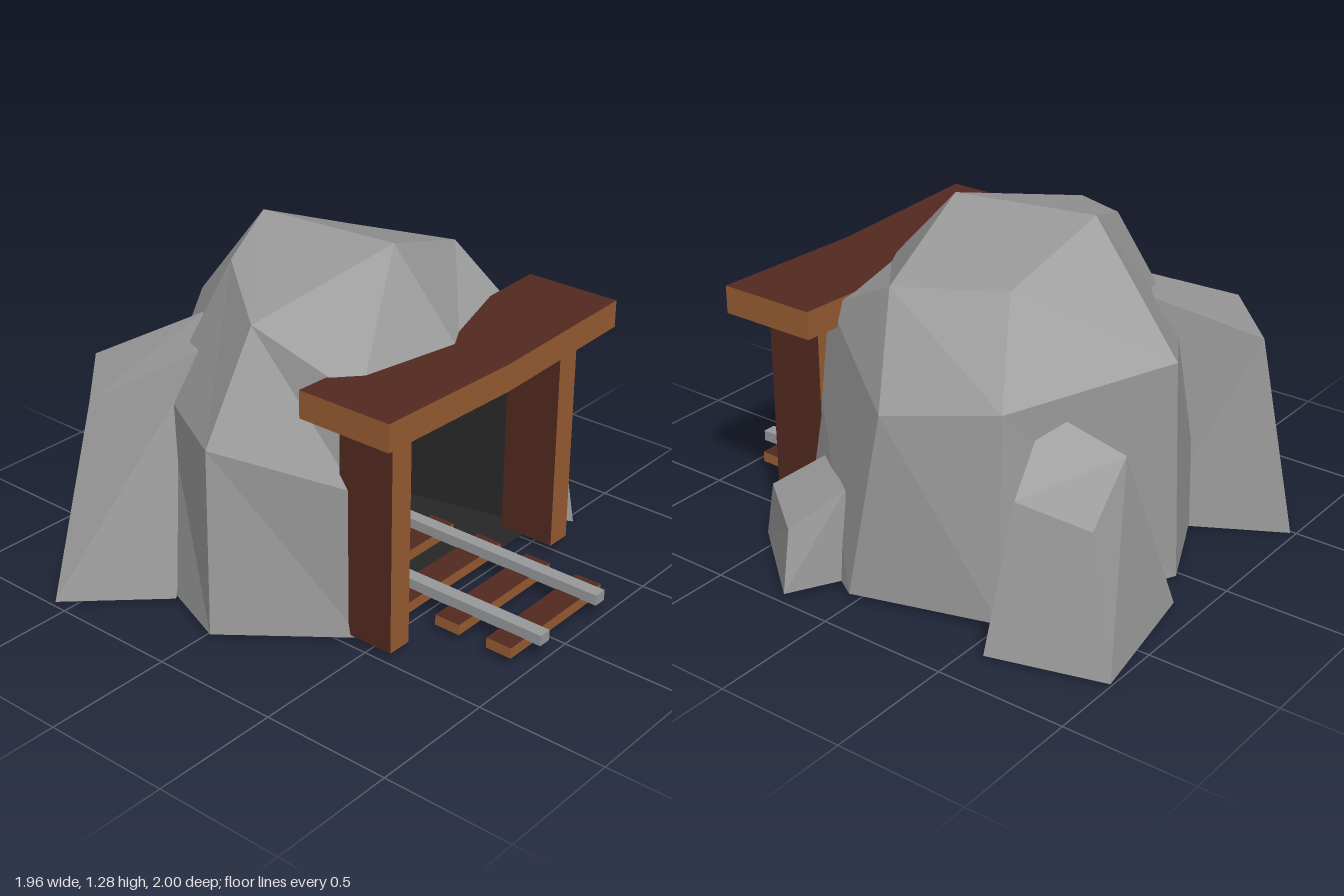
import * as THREE from 'three';

const mat = (name, color) => {
  const m = new THREE.MeshStandardMaterial({ color });
  m.name = name;
  return m;
};

// Flat-shaded geometry from a list of polygons (each fanned into triangles)
function facets(polys) {
  const pos = [];
  for (const p of polys)
    for (let i = 1; i < p.length - 1; i++) pos.push(...p[0], ...p[i], ...p[i + 1]);
  const g = new THREE.BufferGeometry();
  g.setAttribute('position', new THREE.Float32BufferAttribute(pos, 3));
  g.computeVertexNormals();
  return g;
}

// Quads between successive arches; repeated corners are dropped
function loft(arches, inward = false) {
  const polys = [];
  for (let i = 0; i < arches.length - 1; i++)
    for (let j = 0; j < arches[i].length - 1; j++) {
      const quad = [arches[i][j], arches[i][j + 1], arches[i + 1][j + 1], arches[i + 1][j]];
      const poly = quad.filter((p, k) => p.join() !== quad[(k + 1) % 4].join());
      if (poly.length > 2) polys.push(inward ? poly.reverse() : poly);
    }
  return polys;
}

// Boulder open underneath, from a base and a top quad, both counter-clockwise from above
function boulder(base, top) {
  const sides = base.map((p, i) => [p, base[(i + 1) % 4], top[(i + 1) % 4], top[i]]);
  return facets([...sides, top]);
}

export function createModel() {
  const model = new THREE.Group();
  model.name = 'mineEntrance';
  const rock = mat('rock grey', 0x989898);
  const dark = mat('cave dark', 0x272727);
  rock.side = dark.side = THREE.DoubleSide;
  const wood = mat('light wood', 0x985c32);
  const bark = mat('dark wood', 0x532a20);
  const steel = mat('rail steel', 0x98999b);

  const add = (name, geometry, material, parent = model) => {
    const mesh = new THREE.Mesh(geometry, material);
    mesh.name = name;
    parent.add(mesh);
    return mesh;
  };
  const block = (name, x0, x1, y0, y1, z0, z1, material, parent) => {
    const mesh = add(name, new THREE.BoxGeometry(x1 - x0, y1 - y0, z1 - z0), material, parent);
    mesh.position.set((x0 + x1) / 2, (y0 + y1) / 2, (z0 + z1) / 2);
    return mesh;
  };

  // Mountain: arches running from the mouth to the back ridge
  const peak = [0, 1.28, -0.41], backMid = [0.05, 0.85, -0.79], backBase = [0.05, 0.02, -0.82];
  const mouth = [
    [-0.46, 0.02, 0.45], [-0.47, 0.6, 0.43], [-0.42, 0.93, 0.41], [0.07, 0.94, 0.45],
    [0.52, 0.93, 0.36], [0.56, 0.6, 0.38], [0.58, 0.02, 0.46],
  ];
  const middle = [
    [-0.79, 0.02, 0.03], [-0.73, 0.71, -0.02], [-0.51, 1.11, 0], [0.08, 1.265, 0.14],
    [0.58, 1.1, 0.03], [0.77, 0.72, -0.07], [0.84, 0.02, 0.03],
  ];
  const rear = [
    [-0.57, 0.02, -0.53], [-0.49, 0.71, -0.46], [-0.27, 1.19, -0.32], peak,
    [0.41, 1.12, -0.35], [0.6, 0.77, -0.46], [0.68, 0.02, -0.51],
  ];
  const ridge = [backBase, backMid, peak, peak, peak, backMid, backBase];
  add('mountain', facets(loft([mouth, middle, rear, ridge])), rock);

  // Cave lining, back wall and floor
  const top = [0.06, 0.73, -0.5], foot = [0.06, 0.02, -0.64];
  const caveBack = [
    [-0.31, 0.02, -0.38], [-0.29, 0.5, -0.36], [-0.21, 0.67, -0.33], top,
    [0.32, 0.66, -0.33], [0.39, 0.5, -0.36], [0.39, 0.02, -0.38],
  ];
  const backWall = [
    [foot, top, ...caveBack.slice(0, 3).reverse()],
    [top, foot, ...caveBack.slice(4).reverse()],
  ];
  add('caveLining', facets([...loft([mouth, caveBack], true), ...backWall]), dark);
  add('caveFloor', facets([[
    foot, caveBack[0], [-0.39, 0.02, 0.05], mouth[0], mouth[6], [0.78, 0.02, 0], [0.62, 0.02, -0.43],
  ]]), dark);

  // Boulders leaning on the mountain
  add('rearLeftBoulder', boulder(
    [[0.85, 0.01, -0.57], [0.73, 0.01, -1], [0.19, 0.01, -0.9], [0.3, 0.01, -0.5]],
    [[0.68, 0.52, -0.57], [0.63, 0.48, -0.85], [0.38, 0.64, -0.81], [0.41, 0.73, -0.5]]), rock);
  add('rearRightBoulder', boulder(
    [[-0.23, 0.01, -0.55], [-0.49, 0, -0.98], [-0.98, 0, -0.57], [-0.69, 0.01, -0.24]],
    [[-0.23, 0.92, -0.51], [-0.49, 0.75, -0.82], [-0.78, 0.75, -0.54], [-0.43, 0.91, -0.3]]), rock);
  add('frontBoulder', boulder(
    [[0.7, 0.02, 0.55], [0.98, 0.02, 0.21], [0.78, 0.02, 0.1], [0.58, 0.02, 0.3]],
    [[0.71, 0.245, 0.5], [0.92, 0.245, 0.23], [0.74, 0.36, 0.12], [0.62, 0.39, 0.31]]), rock);

  // Timber frame: two posts and a sagging beam
  const frame = new THREE.Group();
  frame.name = 'timberFrame';
  model.add(frame);
  const postMats = [bark, bark, bark, bark, wood, wood];
  const plankMats = [wood, wood, bark, bark, wood, wood];
  block('rightPost', -0.483, -0.383, 0.03, 0.88, 0.37, 0.6, postMats, frame);
  block('leftPost', 0.476, 0.577, 0.03, 0.88, 0.37, 0.6, postMats, frame);
  const beam = new THREE.BoxGeometry(1.305, 0.105, 0.385, 4, 1, 1);
  const p = beam.attributes.position;
  for (let i = 0; i < p.count; i++)
    p.setY(i, p.getY(i) - 0.021 * (1 - Math.abs(p.getX(i)) / 0.6525));
  add('beam', beam, plankMats, frame).position.set(0.064, 0.933, 0.4775);

  // Track: sleepers and rails
  const track = new THREE.Group();
  track.name = 'track';
  model.add(track);
  for (let i = 0; i < 6; i++) {
    const z = 0.88 - i * 0.225;
    block('sleeper', -0.235, 0.315, 0.028, 0.07, z - 0.053, z + 0.053, plankMats, track);
  }
  for (const x of [-0.13, 0.21])
    block('rail', x - 0.026, x + 0.026, 0.068, 0.11, -0.36, 1, steel, track);

  return model;
}
